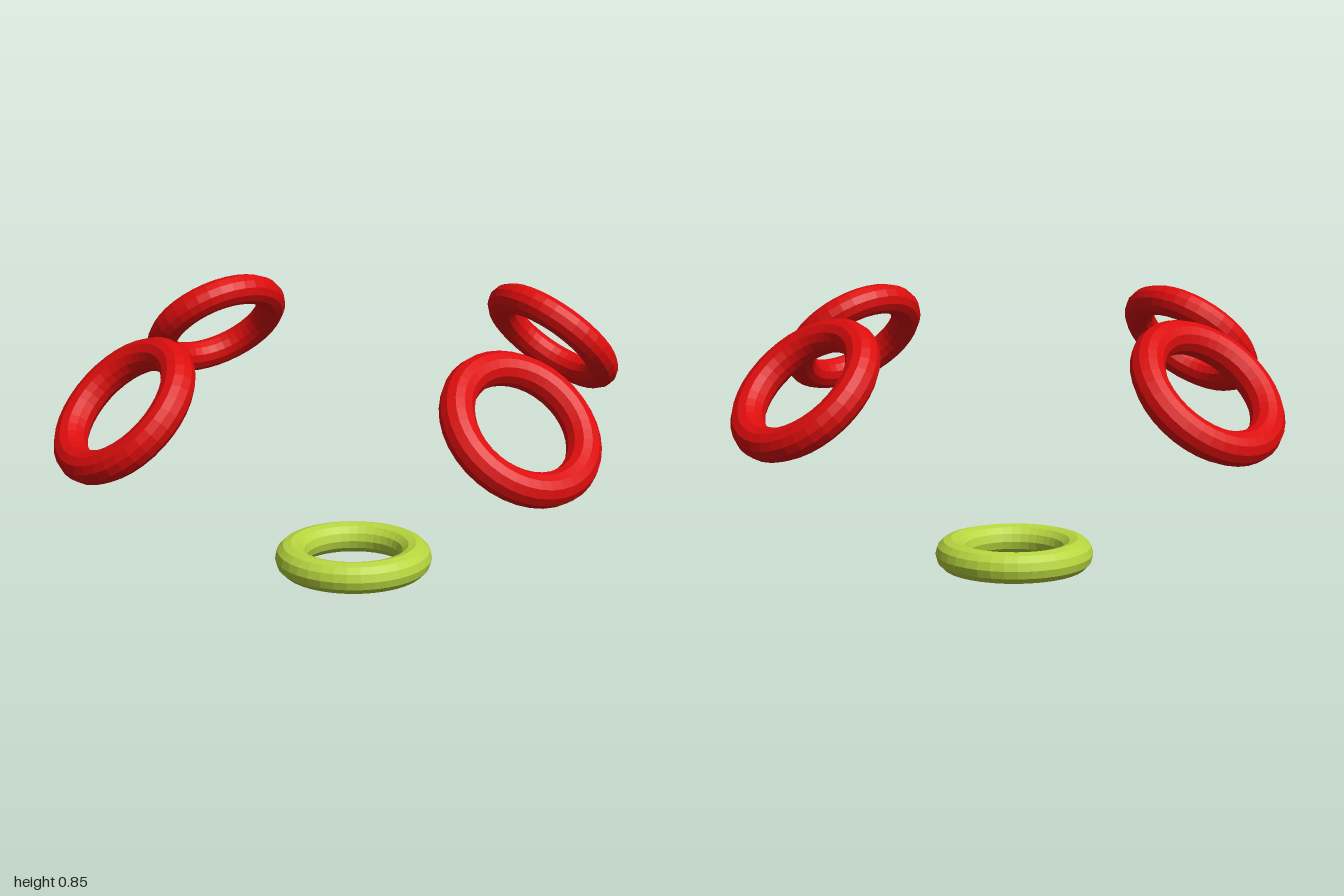
import * as THREE from 'three';

export function createModel() {
  const model = new THREE.Group();
  const red = new THREE.MeshStandardMaterial({ color: 0xdd0d0d, flatShading: true });
  red.name = 'red';
  const lime = new THREE.MeshStandardMaterial({ color: 0xb8d640, flatShading: true });
  lime.name = 'lime green';

  // One ring lying flat, shared by every part
  const ring = new THREE.TorusGeometry(0.2, 0.05, 12, 36).rotateX(Math.PI / 2);

  // Base ring on the ground
  const base = new THREE.Mesh(ring, lime);
  base.name = 'baseRing';
  base.position.y = 0.05;
  model.add(base);

  // Four raised rings, each tilted outward by 45 degrees
  ['frontRing', 'leftRing', 'backRing', 'rightRing'].forEach((name, i) => {
    const arm = new THREE.Group();
    arm.name = name;
    arm.rotation.y = i * Math.PI / 2;
    const mesh = new THREE.Mesh(ring, red);
    mesh.name = name + 'Torus';
    mesh.position.set(0, 0.66, 0.809);
    mesh.rotation.x = Math.PI / 4;
    arm.add(mesh);
    model.add(arm);
  });

  return model;
}
